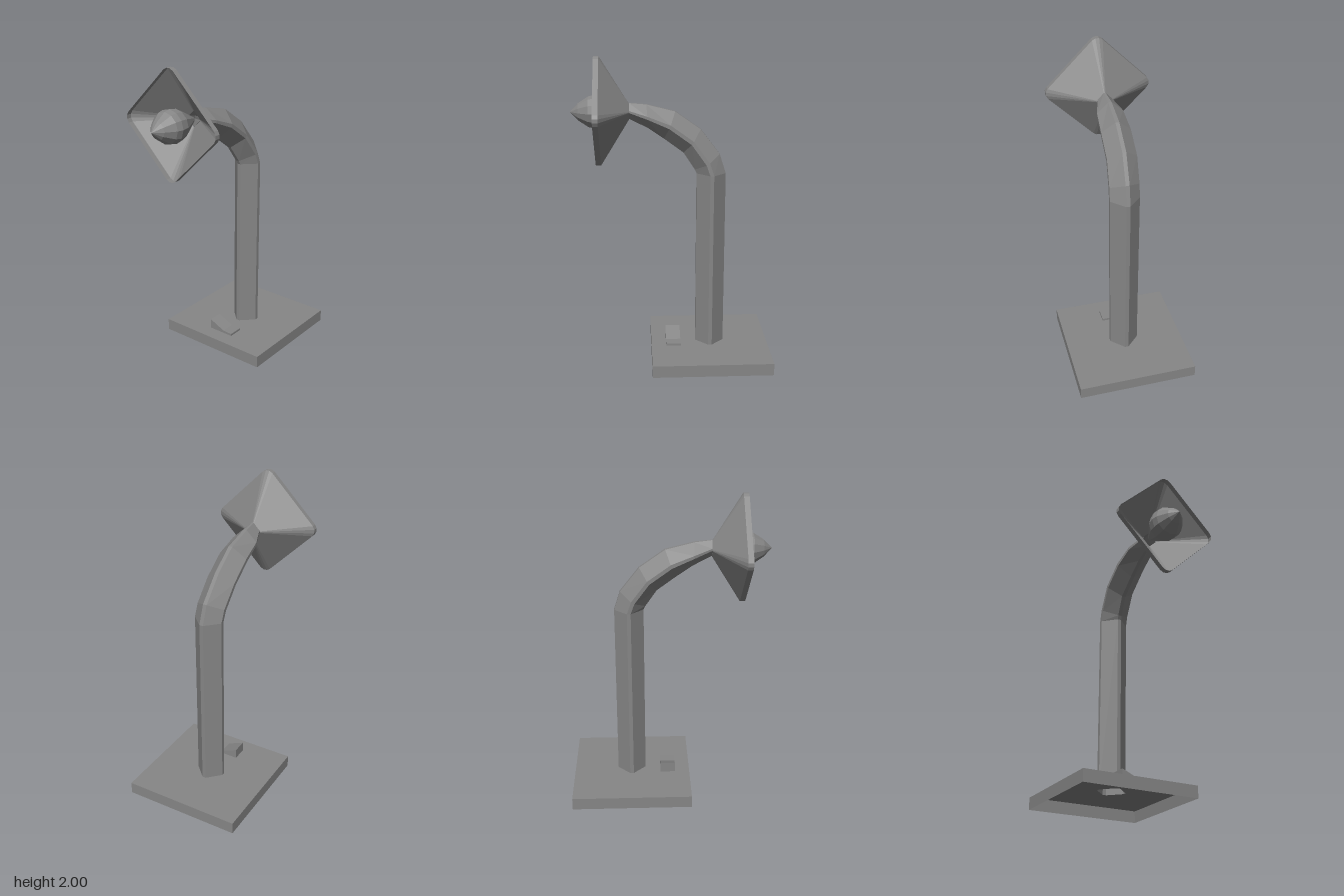
import * as THREE from 'three';

const darkGrey = new THREE.MeshStandardMaterial({ color: 0x868686, side: THREE.DoubleSide, flatShading: true });

// Repeats the points of one corner around the four corners of a diamond
function diamond(corner) {
  const out = [];
  for (let k = 0; k < 4; k++) {
    for (const [a, b] of corner) {
      let u = a, v = b;
      for (let i = 0; i < k; i++) [u, v] = [-v, u];
      out.push([u, v]);
    }
  }
  return out;
}

// Skins a section along rings given as [outerX, outerY, innerX, innerY, centreZ, halfZ]
function loft(section, rings) {
  const positions = [], index = [], n = section.length;
  rings.forEach(([ox, oy, ix, iy, z, h], r) => {
    section.forEach(([u, v], j) => {
      positions.push((ox + ix) / 2 + u * (ox - ix) / 2, (oy + iy) / 2 + u * (oy - iy) / 2, z - v * h);
      if (r === 0) return;
      const a = (r - 1) * n + j, b = (r - 1) * n + (j + 1) % n;
      index.push(a, b, b + n, a, b + n, a + n);
    });
  });
  const g = new THREE.BufferGeometry();
  g.setAttribute('position', new THREE.Float32BufferAttribute(positions, 3));
  g.setIndex(index);
  g.computeVertexNormals();
  return g;
}

// Removes the triangles lying at or below a height, leaving the underside open
function openBelow(geometry, height) {
  const p = geometry.attributes.position, kept = [];
  for (let i = 0; i < p.count; i += 3) {
    if (Math.max(p.getY(i), p.getY(i + 1), p.getY(i + 2)) > height + 0.001) kept.push(i, i + 1, i + 2);
  }
  geometry.clearGroups();
  geometry.setIndex(kept);
  return geometry;
}

const toPoints = (list) => list.map(([x, y]) => new THREE.Vector2(x, y));

export function createModel() {
  const lamp = new THREE.Group();
  lamp.name = 'deskLamp';
  const add = (name, geometry) => {
    const mesh = new THREE.Mesh(geometry, darkGrey);
    mesh.name = name;
    lamp.add(mesh);
    return mesh;
  };
  const postSection = diamond([[1, -0.13], [1, 0.13]]);

  // Base: hollow plate, open underneath, with openings below the post and switch
  const square = [[1, 1], [-1, 1], [-1, -1], [1, -1]];
  const plate = new THREE.Shape(toPoints(square.map(([x, y]) => [0.252 + x * 0.392, y * 0.392])));
  plate.holes.push(
    new THREE.Path(toPoints(postSection.map(([u, v]) => [0.254 + u * 0.094, v * 0.095]))),
    new THREE.Path(toPoints(square.map(([x, y]) => [0.008 + x * 0.049, -0.007 + y * 0.09]))),
  );
  add('baseTop', new THREE.ShapeGeometry(plate).rotateX(-Math.PI / 2).translate(0, 0.08, 0));
  add('baseWalls', loft(square, [[0.644, 0, -0.14, 0, 0, 0.392], [0.644, 0.08, -0.14, 0.08, 0, 0.392]]));

  // Straight post flowing into the curved, tapering arm
  add('postAndArm', loft(postSection, [
    [0.348, 0.08, 0.16, 0.08, 0, 0.095],
    [0.348, 1.255, 0.16, 1.255, 0, 0.095],
    [0.308, 1.38, 0.148, 1.28, -0.004, 0.095],
    [0.185, 1.54, 0.075, 1.39, -0.016, 0.095],
    [0.022, 1.655, -0.05, 1.482, -0.017, 0.094],
    [-0.16, 1.70, -0.15, 1.55, -0.018, 0.084],
    [-0.27, 1.71, -0.27, 1.61, -0.013, 0.047],
  ]));

  // Shade: open pyramid with rounded corners and a straight rim
  const shadeSection = diamond([[0.965, -0.1], [1, -0.035], [1, 0.035], [0.965, 0.1]]);
  const shadeRing = (x, half) => [x, 1.655 + half, x, 1.655 - half, -0.014, half];
  add('shade', loft(shadeSection, [shadeRing(-0.27, 0.05), shadeRing(-0.453, 0.345), shadeRing(-0.487, 0.345)]));

  // Bulb: pointed, lying along the axis of the shade
  const profile = [[0.015, 0.28], [0.06, 0.36], [0.097, 0.43], [0.106, 0.485], [0.098, 0.525], [0.055, 0.59], [0, 0.643]];
  const bulb = new THREE.LatheGeometry(toPoints(profile), 12).rotateZ(Math.PI / 2);
  add('bulb', bulb).position.set(0, 1.655, -0.014);

  // Rocker switch: profile in depth and height, extruded across the width
  const rocker = new THREE.Shape(toPoints([[-0.097, 0.08], [0.083, 0.08], [0.083, 0.147], [-0.03, 0.097], [-0.097, 0.095]]));
  const rockerGeometry = new THREE.ExtrudeGeometry(rocker, { depth: 0.098, bevelEnabled: false });
  add('rockerSwitch', openBelow(rockerGeometry.rotateY(Math.PI / 2).translate(-0.041, 0, 0), 0.08));

  return lamp;
}
